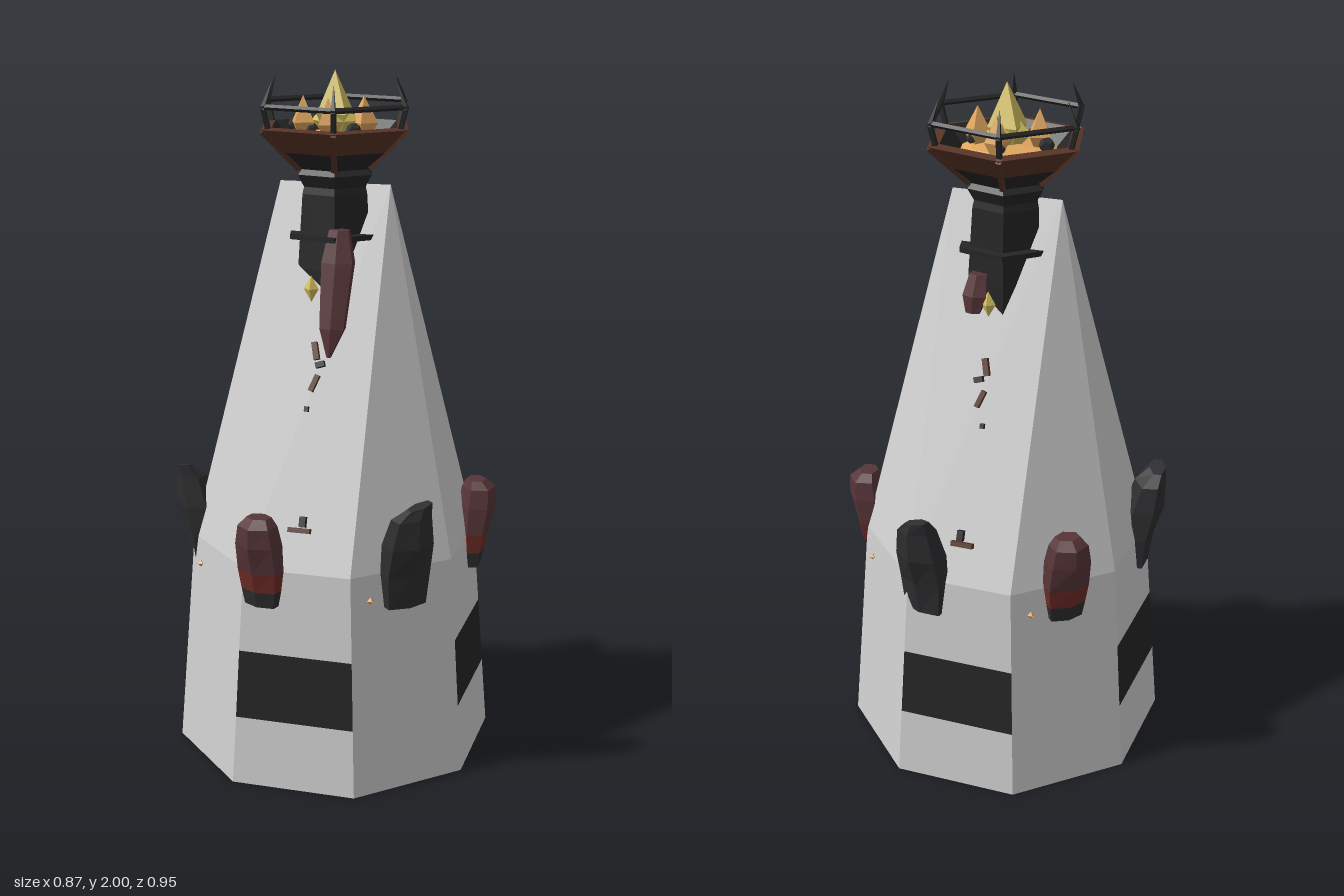
import * as THREE from 'three';

const flat = (name, color) => {
  const m = new THREE.MeshStandardMaterial({ color, flatShading: true });
  m.name = name;
  return m;
};
const MAT = {
  stone: flat('pale stone', 0xd0d0d0),
  band: flat('dark band', 0x262626),
  iron: flat('black iron', 0x252526),
  rock: flat('charcoal rock', 0x2e2e30),
  redRock: flat('red rock', 0x573538),
  redBand: flat('red vein', 0x6e2c26),
  brown: flat('rusty brown', 0x583426),
  ember: flat('ember orange', 0xe0a65e),
  flame: flat('flame yellow', 0xd4c060),
};
const V = (x, y, z) => new THREE.Vector3(x, y, z);

// Skin between equal rings (counter-clockwise from above); faces picks sides, caps close the ends
function skin(rings, { faces = () => true, caps = true } = {}) {
  const pts = [], n = rings[0].length;
  const tri = (a, b, c) => {
    if (a.distanceTo(b) > 1e-5 && b.distanceTo(c) > 1e-5 && a.distanceTo(c) > 1e-5) pts.push(a, b, c);
  };
  for (let r = 0; r < rings.length - 1; r++) {
    for (let i = 0; i < n; i++) {
      if (!faces(i)) continue;
      const j = (i + 1) % n, lo = rings[r], hi = rings[r + 1];
      tri(lo[i], lo[j], hi[j]);
      tri(lo[i], hi[j], hi[i]);
    }
  }
  if (caps) {
    const lo = rings[0], hi = rings[rings.length - 1];
    for (let i = 1; i < n - 1; i++) {
      tri(lo[0], lo[i + 1], lo[i]);
      tri(hi[0], hi[i], hi[i + 1]);
    }
  }
  const g = new THREE.BufferGeometry().setFromPoints(pts);
  g.computeVertexNormals();
  return g;
}

function add(parent, name, geo, mat, pos) {
  const m = new THREE.Mesh(geo, mat);
  m.name = name;
  if (pos) m.position.copy(pos);
  parent.add(m);
  return m;
}

// Square bar between two points
function bar(parent, name, p, q, r, mat, rEnd = r) {
  const m = add(parent, name, new THREE.CylinderGeometry(rEnd, r, p.distanceTo(q), 4), mat,
    p.clone().add(q).multiplyScalar(0.5));
  m.quaternion.setFromUnitVectors(V(0, 1, 0), q.clone().sub(p).normalize());
  return m;
}

// Six-sided lathe with corners on the x axis
function hexLathe(parent, name, profile, mat) {
  const g = new THREE.LatheGeometry(profile.map(([r, y]) => new THREE.Vector2(r, y)), 6);
  g.rotateY(Math.PI / 6);
  return add(parent, name, g, mat);
}

// Octagonal tower that narrows to a diagonal ridge
const A = 0.115;
function octagon(y) {
  const t = y / 0.645, a = 0.437 - 0.05 * t, c = 0.18 - 0.015 * t;
  return [[c, a], [a, c], [a, -c], [c, -a], [-c, -a], [-a, -c], [-a, c], [-c, a]].map(([x, z]) => V(x, y, z));
}
function buildTower() {
  const g = new THREE.Group();
  g.name = 'tower';
  const diagonal = i => i % 2 === 0;
  const levels = [0, 0.2, 0.4, 0.645].map(octagon);
  const ridge = levels[3].map((_, i) => (i >= 3 && i <= 6 ? V(-A, 1.685, -A) : V(A, 1.685, A)));
  add(g, 'towerFoot', skin([levels[0], levels[1]]), MAT.stone);
  add(g, 'towerBands', skin([levels[1], levels[2]], { faces: diagonal, caps: false }), MAT.band);
  add(g, 'towerPlainSides', skin([levels[1], levels[2]], { faces: i => !diagonal(i), caps: false }), MAT.stone);
  add(g, 'towerUpper', skin([levels[2], levels[3], ridge], { caps: false }), MAT.stone);
  return g;
}

// Leaning six-sided rock: each row is y, sideways shift, radial centre, half width, half depth, top slant
const rockRings = rows => rows.map(([y, tx, rc, hw, hd, slant = 0]) =>
  Array.from({ length: 6 }, (_, k) => {
    const a = k * Math.PI / 3, x = Math.sin(a) * hw / 0.866, z = Math.cos(a) * hd;
    return V(tx + x, y + slant * x, rc + z);
  }));
const DARK_ROCK = [[0.545, 0, 0.4, 0.06, 0.03], [0.64, 0, 0.4, 0.068, 0.045], [0.73, 0, 0.412, 0.066, 0.062],
  [0.815, 0, 0.43, 0.052, 0.046, 0.12], [0.85, 0.014, 0.45, 0.034, 0.024, 0.25]];
const RED_ROCK = [[0.545, 0, 0.405, 0.048, 0.028], [0.592, 0, 0.407, 0.055, 0.036], [0.65, 0, 0.41, 0.062, 0.045],
  [0.73, 0, 0.418, 0.06, 0.056], [0.785, 0, 0.423, 0.05, 0.05], [0.808, 0, 0.415, 0.032, 0.03]];
function buildRocks() {
  const g = new THREE.Group();
  g.name = 'rocks';
  for (let i = 0; i < 6; i++) {
    const rock = new THREE.Group();
    rock.name = 'rock' + (i + 1);
    rock.rotation.y = i * Math.PI / 3;
    if (i % 2 === 0) {
      add(rock, 'rockBody', skin(rockRings(DARK_ROCK)), MAT.rock);
    } else {
      const r = rockRings(RED_ROCK);
      add(rock, 'rockFoot', skin(r.slice(0, 2)), MAT.rock);
      add(rock, 'rockVein', skin(r.slice(1, 3)), MAT.redBand);
      add(rock, 'rockBody', skin(r.slice(2)), MAT.redRock);
    }
    g.add(rock);
  }
  return g;
}

// Iron column, bowl, railing and fire
function buildBrazier() {
  const g = new THREE.Group();
  g.name = 'brazier';
  hexLathe(g, 'column', [[0, 1.2], [0.125, 1.2], [0.12, 1.45], [0.105, 1.66], [0.1, 1.68], [0.12, 1.715], [0.1, 1.735], [0, 1.735]], MAT.iron);
  hexLathe(g, 'columnRing', [[0.1, 1.535], [0.145, 1.535], [0.145, 1.55], [0.1, 1.55]], MAT.iron);
  hexLathe(g, 'bowlBase', [[0, 1.73], [0.11, 1.73], [0.17, 1.78]], MAT.iron);
  hexLathe(g, 'bowlRim', [[0.17, 1.78], [0.235, 1.845], [0.2, 1.85]], MAT.brown);
  hexLathe(g, 'bowlLining', [[0.2, 1.85], [0.152, 1.8]], MAT.iron);
  hexLathe(g, 'emberBed', [[0.155, 1.8], [0.11, 1.825], [0, 1.835]], MAT.ember);
  const rail = new THREE.TorusGeometry(0.222, 0.008, 4, 6);
  rail.rotateX(Math.PI / 2);
  add(g, 'rail', rail, MAT.iron, V(0, 1.907, 0));
  for (let i = 0; i < 6; i++) {
    const a = i * Math.PI / 3;
    const at = (r, y) => V(Math.cos(a) * r, y, Math.sin(a) * r);
    bar(g, 'bowlRib', at(0.115, 1.732), at(0.23, 1.843), 0.01, MAT.brown);
    bar(g, 'railPost', at(0.208, 1.835), at(0.228, 1.91), 0.009, MAT.iron);
    bar(g, 'railSpike', at(0.228, 1.9), at(0.2, 1.972), 0.009, MAT.iron, 0.001);
  }
  // Fire crystals
  const crystal = (name, x, y, z, r, h, mat, turn = 0) => {
    const m = add(g, name, new THREE.OctahedronGeometry(1), mat, V(x, y, z));
    m.scale.set(r, h, r);
    m.rotation.y = turn;
  };
  crystal('mainFlame', 0, 1.88, 0, 0.06, 0.12, MAT.flame);
  crystal('crossFlame', 0, 1.86, 0, 0.07, 0.075, MAT.flame, Math.PI / 4);
  [[-0.075, -0.05, 0.04], [0.06, -0.065, 0.035], [0.065, 0.05, 0.04], [-0.05, 0.05, 0.037]].forEach(([x, z, r], i) =>
    crystal('emberCrystal', x, 1.855, z, r, 0.075, MAT.ember, 0.4 + i));
  [[-0.07, -0.105, 0.022], [-0.005, 0.115, 0.022], [0.06, -0.09, 0.013], [0.092, 0.035, 0.013], [-0.092, 0.03, 0.013]].forEach(([x, z, r]) =>
    add(g, 'coal', new THREE.DodecahedronGeometry(r), MAT.rock, V(x, 1.842, z)));
  return g;
}

// Fragments on the two broad slopes; local z points out of the slope, x runs along it
function buildDebris(back) {
  const g = new THREE.Group();
  g.name = back ? 'backDebris' : 'frontDebris';
  g.rotation.y = back ? Math.PI * 3 / 4 : -Math.PI / 4;
  const s = back ? -1 : 1;
  const out = y => (1.685 - y) * 0.385;
  const box = (name, x, y, lift, w, h, d, mat, roll = 0) => {
    const m = add(g, name, new THREE.BoxGeometry(w, h, d), mat, V(s * x, y, out(y) + lift));
    m.rotation.set(-0.37, 0, roll);
  };
  // Hanging red splinter
  const splinter = back
    ? [[1.37, -0.055, 0.125, 0.02, 0.012], [1.42, -0.05, 0.115, 0.035, 0.025], [1.48, -0.045, 0.1, 0.025, 0.02]]
    : [[1.22, 0.035, 0.185, 0.006, 0.006], [1.3, 0.04, 0.165, 0.035, 0.025], [1.48, 0.045, 0.125, 0.045, 0.03], [1.57, 0.045, 0.11, 0.028, 0.02]];
  add(g, 'redSplinter', skin(rockRings(splinter)), MAT.redRock);
  const shard = add(g, 'goldShard', new THREE.OctahedronGeometry(1), MAT.flame, V(back ? -0.01 : -0.035, 1.4, 0.122));
  shard.scale.set(0.022, 0.038, 0.018);
  // Crumbling trail and small ledge
  box('trailPiece', -0.005, 1.235, 0.006, 0.016, 0.05, 0.016, MAT.brown, 0.25);
  box('trailPiece', 0.012, 1.2, 0.006, 0.026, 0.016, 0.016, MAT.iron, 0.3);
  box('trailPiece', 0.0, 1.15, 0.006, 0.014, 0.05, 0.014, MAT.brown, -0.35);
  box('trailPiece', -0.015, 1.08, 0.004, 0.012, 0.014, 0.012, MAT.iron);
  box('ledge', 0, 0.762, 0.004, 0.064, 0.014, 0.02, MAT.brown);
  box('ledgeStone', 0.008, 0.785, 0.004, 0.018, 0.03, 0.018, MAT.iron);
  return g;
}

export function createModel() {
  const model = new THREE.Group();
  model.name = 'beaconTower';
  const tower = new THREE.Group();
  tower.name = 'towerAssembly';
  tower.position.z = -0.007;
  tower.add(buildTower(), buildBrazier(), buildDebris(false), buildDebris(true));
  // Tiny studs near the shoulder
  for (let i = 0; i < 4; i++) {
    const p = V(-0.105, 0.572, 0.395).applyAxisAngle(V(0, 1, 0), i * Math.PI / 2);
    add(tower, 'stud', new THREE.OctahedronGeometry(0.011), MAT.ember, p);
  }
  model.add(tower, buildRocks());
  return model;
}
